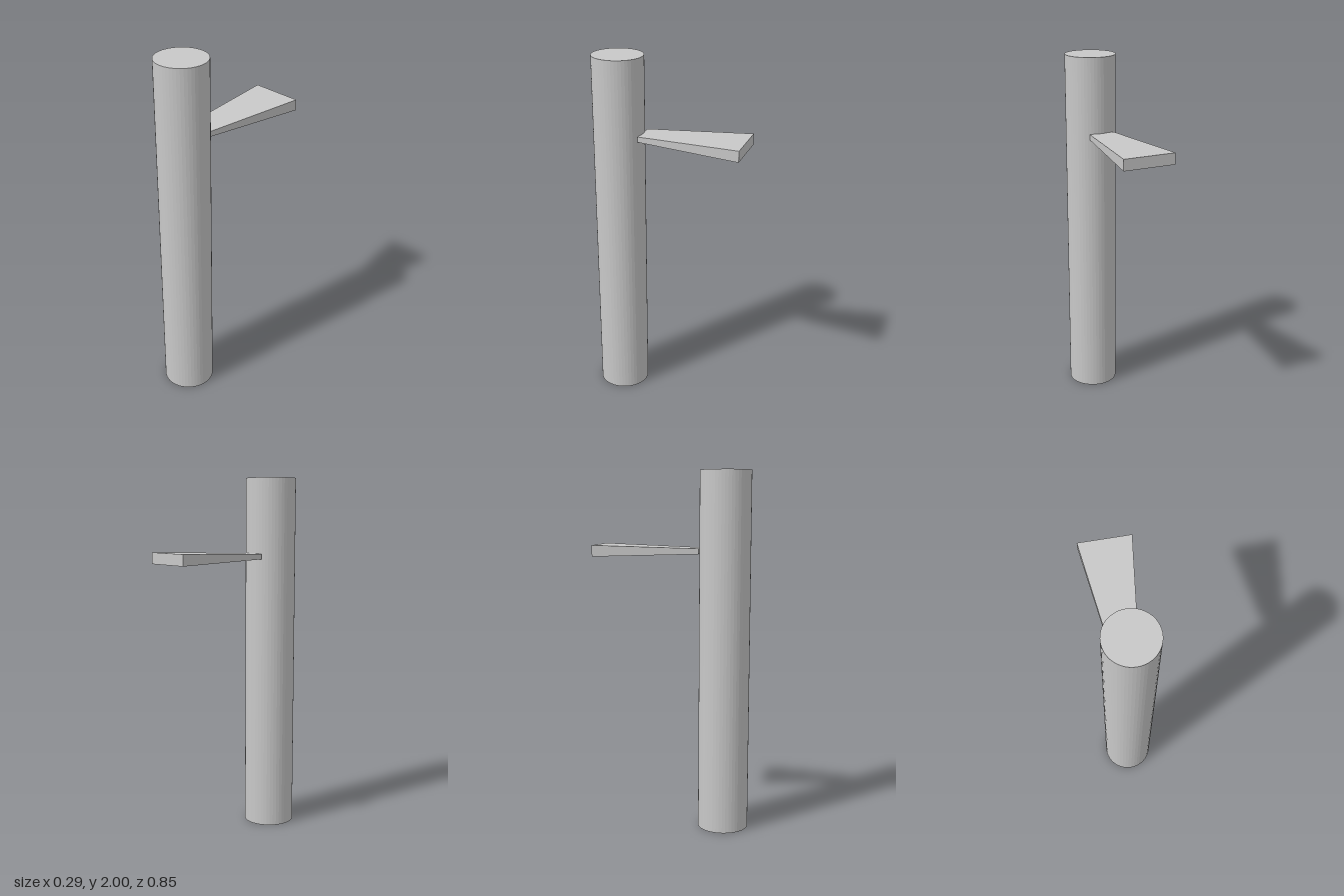
import * as THREE from 'three';

export function createModel() {
  const model = new THREE.Group();
  const grey = new THREE.MeshStandardMaterial({ color: 0xc8c8c8 });
  grey.name = 'light grey';

  // Upright round post
  const post = new THREE.Mesh(
    new THREE.CylinderGeometry(0.141, 0.141, 2, 48).toNonIndexed(), grey);
  post.geometry.computeVertexNormals();
  post.name = 'post';
  post.position.set(0.005, 1, 0.285);
  model.add(post);

  // Paddle: a box that widens and thickens towards the back
  const geometry = new THREE.BoxGeometry(1, 1, 0.58).toNonIndexed();
  const p = geometry.attributes.position;
  for (let i = 0; i < p.count; i++) {
    const back = p.getZ(i) < 0;
    p.setX(i, p.getX(i) * (back ? 0.29 : 0.146));
    p.setY(i, p.getY(i) * (back ? 0.062 : 0.03));
  }
  geometry.computeVertexNormals();
  const paddle = new THREE.Mesh(geometry, grey);
  paddle.name = 'paddle';
  paddle.position.set(-0.0035, 1.566, -0.138);
  model.add(paddle);

  return model;
}
